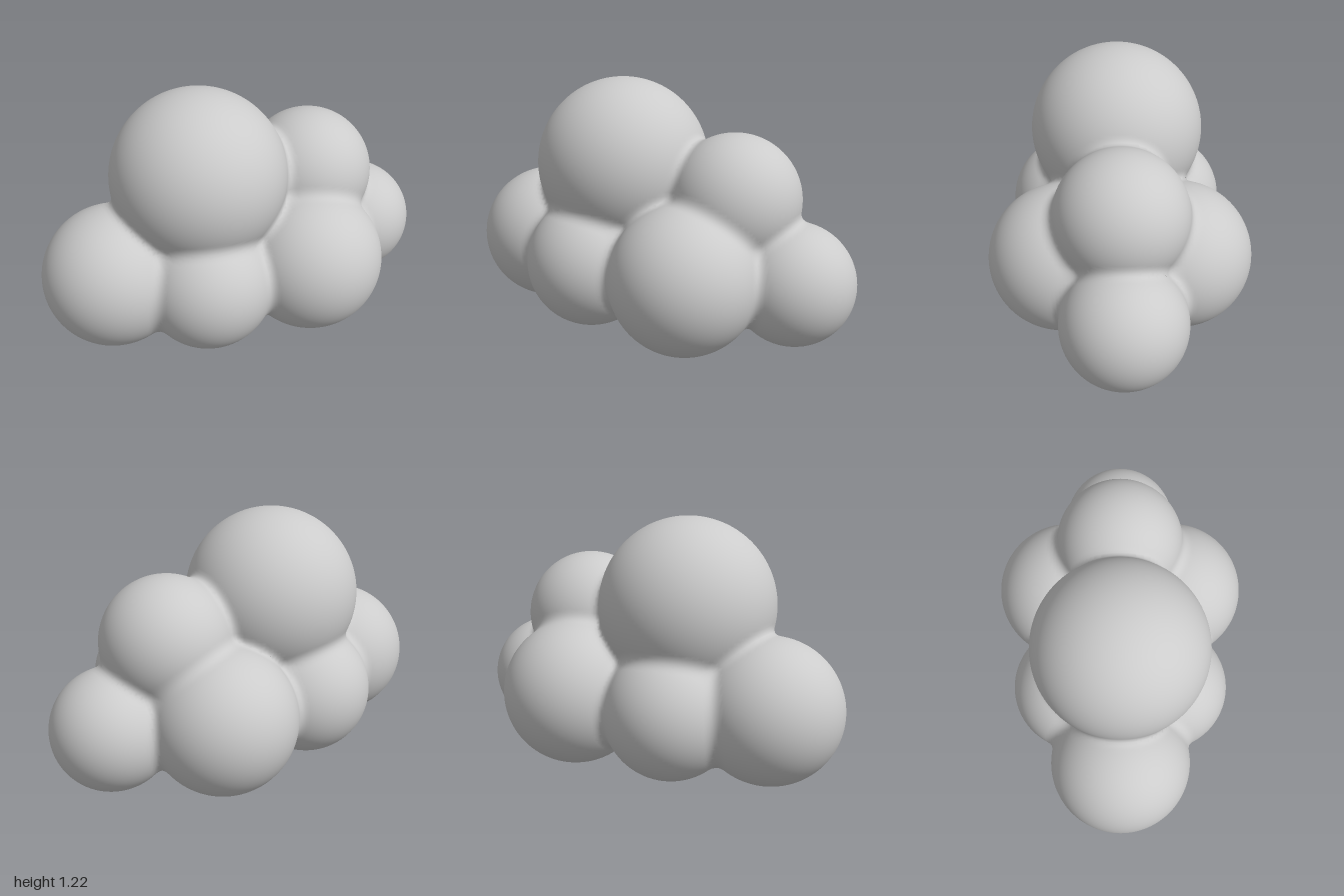
import * as THREE from 'three';

// Puffs of the cloud: x, y, z, radius
const PUFFS = [
  [-0.2, 0.8, 0, 0.425],      // crown
  [0.4, 0.685, 0, 0.318],     // shoulder
  [-0.655, 0.365, 0, 0.345],  // right end
  [0.705, 0.315, 0, 0.295],   // left end
];
for (const s of [-1, 1]) {
  PUFFS.push([0.27, 0.357, 0.28 * s, 0.357]);   // large side puffs
  PUFFS.push([-0.26, 0.34, 0.225 * s, 0.32]);   // small side puffs
}
const BLEND = 0.05;

// Distance to the puffs, joined with a small soft fillet
function field(x, y, z) {
  let d = 10;
  for (const [cx, cy, cz, r] of PUFFS) {
    const e = Math.hypot(x - cx, y - cy, z - cz) - r;
    const h = Math.max(BLEND - Math.abs(d - e), 0) / BLEND;
    d = Math.min(d, e) - h * h * BLEND / 4;
  }
  return d;
}

function gradient(p) {
  const e = 0.0015, { x, y, z } = p;
  return new THREE.Vector3(
    field(x + e, y, z) - field(x - e, y, z),
    field(x, y + e, z) - field(x, y - e, z),
    field(x, y, z + e) - field(x, y, z - e)
  ).divideScalar(2 * e);
}

// Skin the field with one quad per grid edge that crosses the surface
function skin(min, size, step) {
  const n = size.map((s) => Math.ceil(s / step) + 1);
  const stride = [1, n[0], n[0] * n[1]];
  const values = new Float32Array(n[0] * n[1] * n[2]);
  const at = (i, j, k) => i + j * stride[1] + k * stride[2];
  const eachCell = (start, visit) => {
    for (let k = start; k < n[2] - 1; k++)
      for (let j = start; j < n[1] - 1; j++)
        for (let i = start; i < n[0] - 1; i++) visit(i, j, k, at(i, j, k));
  };
  for (let k = 0; k < n[2]; k++)
    for (let j = 0; j < n[1]; j++)
      for (let i = 0; i < n[0]; i++)
        values[at(i, j, k)] = field(min[0] + i * step, min[1] + j * step, min[2] + k * step);

  // One vertex per crossed cell, pulled onto the surface
  const ids = new Map(), positions = [], normals = [], indices = [];
  eachCell(0, (i, j, k, c) => {
    let inside = 0;
    for (let b = 0; b < 8; b++) {
      const corner = c + (b & 1) + (b >> 1 & 1) * stride[1] + (b >> 2) * stride[2];
      if (values[corner] < 0) inside++;
    }
    if (inside === 0 || inside === 8) return;
    const p = new THREE.Vector3(i + 0.5, j + 0.5, k + 0.5).multiplyScalar(step);
    p.add(new THREE.Vector3(...min));
    for (let t = 0; t < 5; t++) {
      const g = gradient(p);
      p.addScaledVector(g, -field(p.x, p.y, p.z) / Math.max(g.lengthSq(), 0.2));
    }
    ids.set(c, positions.length / 3);
    positions.push(p.x, p.y, p.z);
    normals.push(...gradient(p).normalize().toArray());
  });

  // Join the four cells around each crossed edge
  eachCell(1, (i, j, k, c) => {
    for (let axis = 0; axis < 3; axis++) {
      const inA = values[c] < 0, inB = values[c + stride[axis]] < 0;
      if (inA === inB) continue;
      const u = stride[(axis + 1) % 3], v = stride[(axis + 2) % 3];
      const q = [c - u - v, c - v, c, c - u].map((id) => ids.get(id));
      if (!inA) q.reverse();
      indices.push(q[0], q[1], q[2], q[0], q[2], q[3]);
    }
  });

  const geometry = new THREE.BufferGeometry();
  geometry.setAttribute('position', new THREE.Float32BufferAttribute(positions, 3));
  geometry.setAttribute('normal', new THREE.Float32BufferAttribute(normals, 3));
  geometry.setIndex(indices);
  return geometry;
}

export function createModel() {
  const group = new THREE.Group();
  group.name = 'cloud';
  const body = new THREE.Mesh(
    skin([-1.05, -0.05, -0.69], [2.1, 1.33, 1.38], 0.018),
    new THREE.MeshStandardMaterial({ color: 0xcccccc })
  );
  body.name = 'cloudBody';
  group.add(body);
  return group;
}
